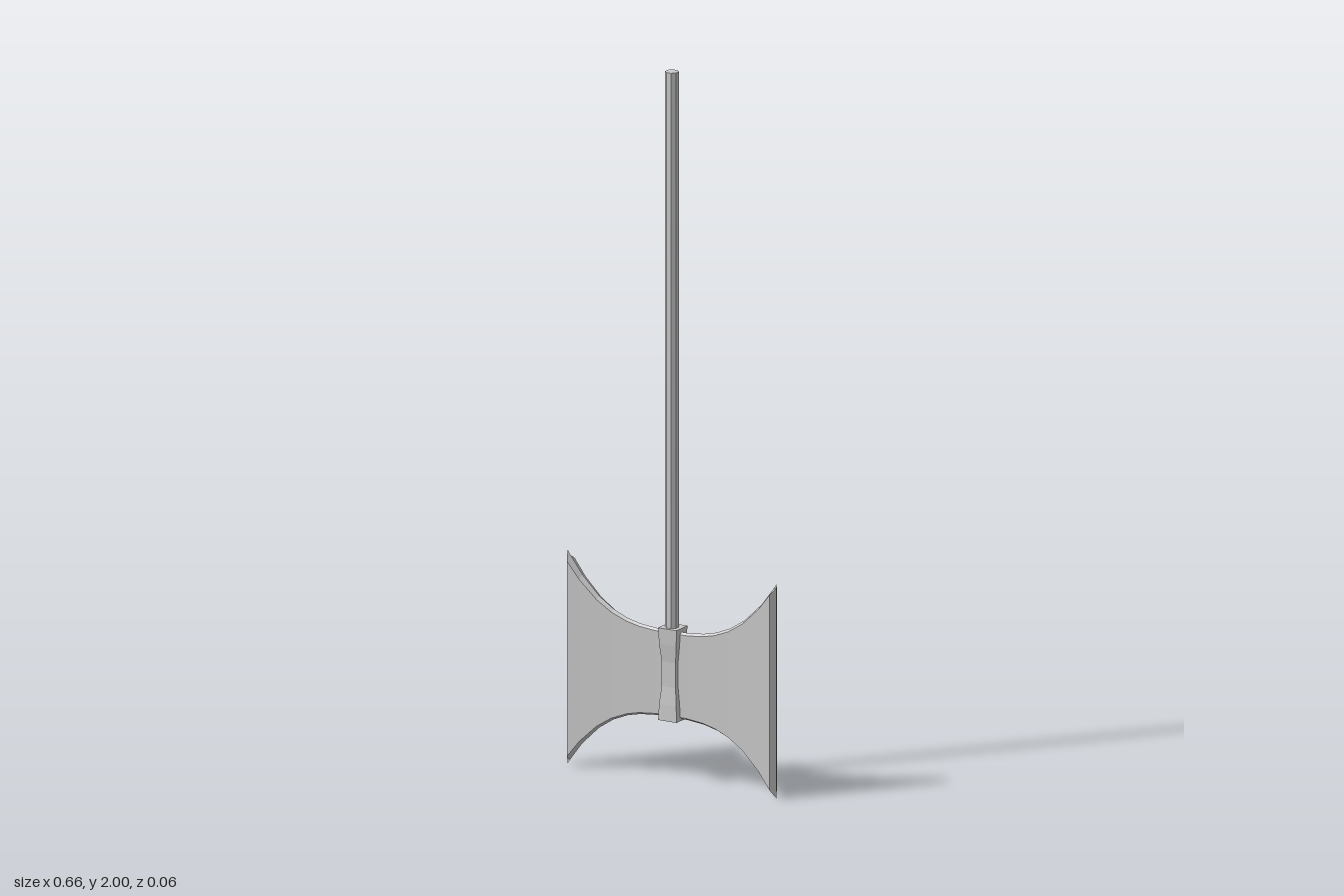
import * as THREE from 'three';

const MID = 0.302; // height of the blade's centre line

const material = () => new THREE.MeshStandardMaterial({ color: 0xcccccc, flatShading: true });

function part(name, geometry, x = 0, y = 0, z = 0) {
  const mesh = new THREE.Mesh(geometry, material());
  mesh.name = name;
  mesh.position.set(x, y, z);
  return mesh;
}

// Skin between equal rings of points; rings run counter-clockwise about the direction of travel
function loft(rings) {
  const n = rings[0].length;
  const index = [];
  for (let i = 0; i < rings.length - 1; i++) {
    for (let j = 0; j < n; j++) {
      const a = i * n + j, b = i * n + (j + 1) % n;
      index.push(a, b, b + n, a, b + n, a + n);
    }
  }
  const geometry = new THREE.BufferGeometry();
  geometry.setAttribute('position', new THREE.Float32BufferAttribute(rings.flat(2), 3));
  geometry.setIndex(index);
  geometry.computeVertexNormals();
  return geometry;
}

// Double blade: hexagonal sections that flare and thicken towards both cutting edges
function bladeGeometry() {
  const half = [0.05, 0.1, 0.14, 0.185, 0.23, 0.283, 0.32, 0.33];
  const stations = [...half.map(x => -x).reverse(), 0, ...half];
  return loft(stations.map(x => {
    const u = Math.abs(x) / 0.33;
    const h = 0.122 + 0.18 * u ** 2.88;           // ridge of the bevel
    const f = h - 0.006 - 0.006 * u ** 4;         // border of the flat face
    const t = u > 0.99 ? 0 : 0.007 + 0.014 * u * u; // half thickness
    return [[x, h, 0], [x, f, t], [x, -f, t], [x, -h, 0], [x, -f, -t], [x, f, -t]];
  }));
}

// Square collar with a narrowed waist
function collarGeometry() {
  const levels = [[-0.13, 0.029], [-0.085, 0.027], [-0.035, 0.022],
    [0.035, 0.022], [0.085, 0.027], [0.13, 0.029]];
  const geometry = new THREE.BoxGeometry(2, 5, 2, 1, 5, 1);
  const p = geometry.attributes.position;
  for (let i = 0; i < p.count; i++) {
    const [y, s] = levels[Math.round(p.getY(i) + 2.5)];
    p.setXYZ(i, p.getX(i) * s, y, p.getZ(i) * s);
  }
  geometry.computeVertexNormals();
  return geometry;
}

export function createModel() {
  const group = new THREE.Group();
  group.name = 'doubleAxe';

  // Handle runs from inside the collar to the top
  const bottom = 0.2, top = 2;
  const shaft = new THREE.CylinderGeometry(0.019, 0.019, top - bottom, 8);
  shaft.rotateY(Math.PI / 8);
  group.add(part('handle', shaft, 0, (top + bottom) / 2, 0));

  group.add(part('blade', bladeGeometry(), 0, MID, 0));
  group.add(part('collar', collarGeometry(), 0.0015, 0.305, -0.0015));
  return group;
}
